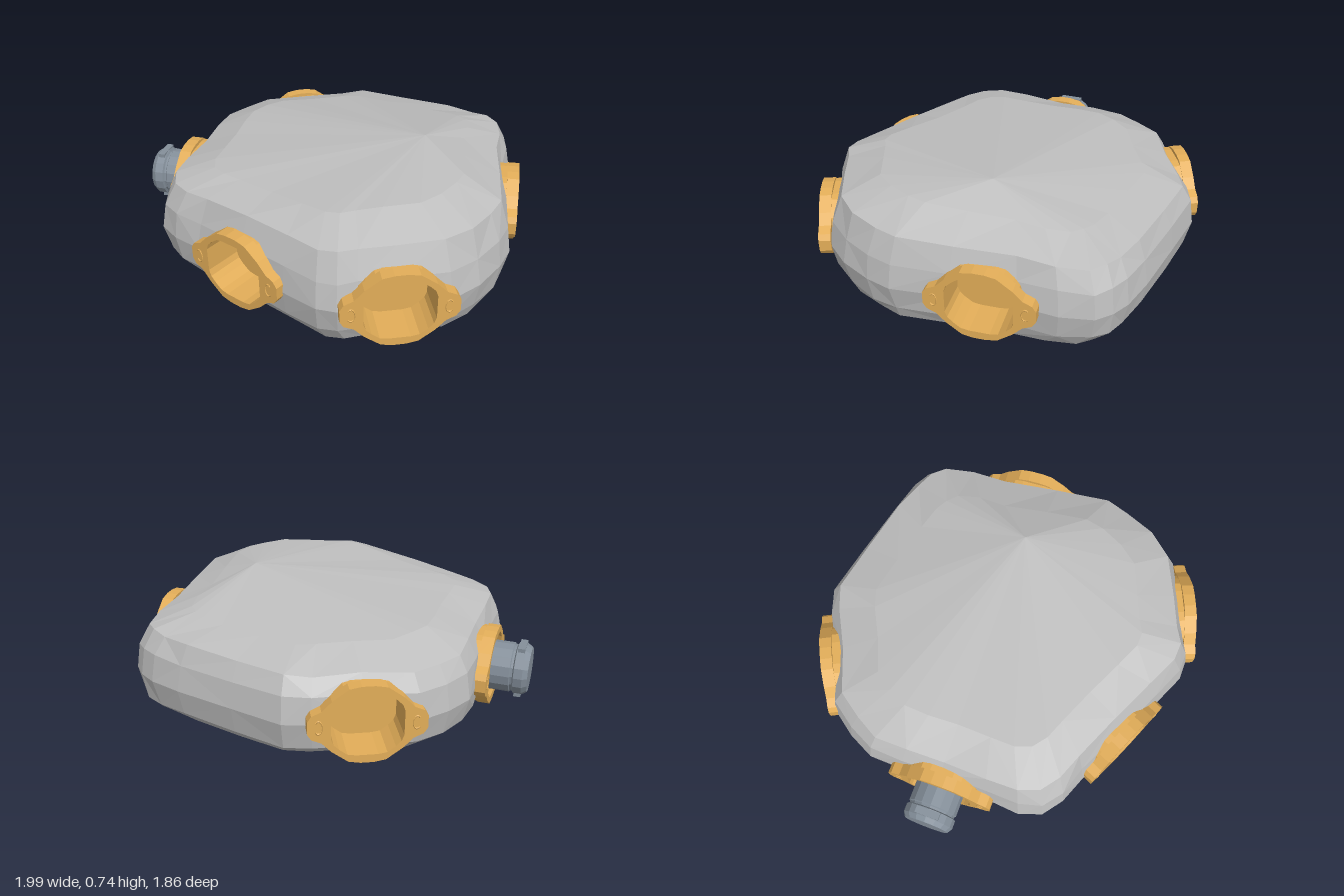
import * as THREE from 'three';

const rockMat = new THREE.MeshStandardMaterial({ name: 'grey stone', color: 0xbebebe, flatShading: true });
const brassMat = new THREE.MeshStandardMaterial({ name: 'ochre socket', color: 0xe2ad58, flatShading: true });
const plugMat = new THREE.MeshStandardMaterial({ name: 'slate plug', color: 0x848f9a, flatShading: true });

// Socket face centre (x, z) and outward direction (x, z)
const SOCKET_Y = 0.36;
const SOCKETS = [
  ['frontSocket', 0.085, 0.902, 0.09, 1],
  ['frontLeftSocket', 0.828, 0.592, 0.78, 0.62],
  ['backLeftSocket', 0.70, -0.5, 0.84, -0.55],
  ['backRightSocket', -0.82, -0.43, -0.84, -0.55],
  ['frontRightSocket', -0.79, 0.465, -0.87, 0.49],
].map(([name, x, z, nx, nz]) => ({
  name, c: new THREE.Vector3(x, SOCKET_Y, z), n: new THREE.Vector3(nx, 0, nz).normalize(),
}));
const STONE_DEPTH = 0.048; // stone surface behind each socket face

// Stone outline seen from above, running from the front towards +x
const OUTLINE = [
  [-0.35, 0.9], [-0.2, 0.88], [0.08, 0.855], [0.35, 0.84], [0.54, 0.825], [0.625, 0.78], [0.68, 0.7],
  [0.79, 0.56], [0.94, 0.37], [0.968, 0.2], [0.955, 0.02], [0.92, -0.11], [0.75, -0.35], [0.56, -0.6],
  [0.47, -0.78], [0.36, -0.9], [0.27, -0.928], [0.17, -0.928], [0, -0.89], [-0.3, -0.795], [-0.56, -0.71],
  [-0.65, -0.61], [-0.78, -0.41], [-0.93, -0.21], [-0.947, -0.05], [-0.94, 0.1], [-0.86, 0.26],
  [-0.75, 0.44], [-0.64, 0.65], [-0.56, 0.8], [-0.47, 0.88],
];

// Outline scale, shift in x and z, and height rule for each level, bottom to top
const LEVELS = [
  [0.57, 0.12, 0.08, () => 0.012],
  [0.89, 0.04, 0.01, () => 0.135],
  [0.97, 0, 0, () => 0.22],
  [1, 0, 0, () => 0.35],
  [0.975, 0, 0, () => 0.48],
  [0.92, 0, 0, (x, z) => 0.585 + 0.03 * x + 0.02 * z],
  [0.71, 0, 0.01, (x, z) => 0.65 + (x > 0 ? 0.07 : 0.02) * x + 0.05 * Math.min(0, z)],
];

function seeded(seed) {
  return () => (seed = (seed * 16807) % 2147483647) / 2147483647 - 0.5;
}

// Cut the eight-sided socket opening out of one convex polygon; returns the pieces left outside
function cutOpening(poly, { c, n }) {
  const mid = poly.reduce((s, p) => s.add(p), new THREE.Vector3()).divideScalar(poly.length);
  if (mid.sub(c).dot(n) < -0.4) return [poly];
  const side = new THREE.Vector3(n.z, 0, -n.x);
  const pieces = [];
  let inside = poly;
  for (let k = 0; k < 8 && inside.length > 2; k++) {
    const a = k * Math.PI / 4;
    const dir = side.clone().multiplyScalar(Math.cos(a)).add(new THREE.Vector3(0, Math.sin(a), 0));
    const dist = inside.map(p => p.clone().sub(c).dot(dir) - 0.172);
    const within = [], without = [];
    inside.forEach((p, i) => {
      const j = (i + 1) % inside.length;
      (dist[i] > 0 ? without : within).push(p);
      if ((dist[i] > 0) !== (dist[j] > 0)) {
        const q = p.clone().lerp(inside[j], dist[i] / (dist[i] - dist[j]));
        within.push(q);
        without.push(q);
      }
    });
    if (without.length > 2) pieces.push(without);
    inside = within;
  }
  // An untouched polygon stays whole
  return inside.length > 2 ? pieces : [poly];
}

function makeStone() {
  const rand = seeded(71);
  const rings = LEVELS.map(([scale, dx, dz, height], level) => OUTLINE.map(([ox, oz]) => {
    const rough = level === 0 || level === 3 || level === 6 ? 0.004 : 0.014;
    const s = scale + rand() * rough;
    const p = new THREE.Vector3(ox * s + dx, 0, oz * s + dz);
    p.y = height(p.x, p.z) + rand() * rough;
    // Flatten the stone behind each socket
    for (const { c, n } of SOCKETS) {
      const d = p.clone().sub(c);
      const depth = d.dot(n);
      if (Math.abs(d.x * n.z - d.z * n.x) < 0.24 && depth > -STONE_DEPTH && depth < 0.3) {
        p.addScaledVector(n, -STONE_DEPTH - depth);
      }
    }
    return p;
  }));
  const top = new THREE.Vector3(0.33, 0.74, -0.18), base = new THREE.Vector3(0.15, 0, 0);
  let polys = [];
  const count = OUTLINE.length;
  for (let i = 0; i < count; i++) {
    const j = (i + 1) % count;
    for (let k = 0; k + 1 < rings.length; k++) {
      const [a, b, c, d] = [rings[k][i], rings[k][j], rings[k + 1][j], rings[k + 1][i]];
      if ((i + k) % 3) polys.push([a, b, c], [a, c, d]);
      else polys.push([a, b, d], [b, c, d]);
    }
    polys.push([rings.at(-1)[i], rings.at(-1)[j], top], [rings[0][j], rings[0][i], base]);
  }
  for (const socket of SOCKETS) polys = polys.flatMap(p => cutOpening(p, socket));
  const points = polys.flatMap(p => p.slice(2).flatMap((v, i) => [p[0], p[i + 1], v]));
  const geo = new THREE.BufferGeometry().setFromPoints(points);
  geo.computeVertexNormals();
  return mesh('stone', geo, rockMat);
}

function mesh(name, geo, mat) {
  const m = new THREE.Mesh(geo, mat);
  m.name = name;
  return m;
}

// Mirror a quarter outline, given from +x to +y, into a closed loop
function loop(quarter, s = 1) {
  const half = [...quarter, ...quarter.slice().reverse().map(([x, y]) => [-x, y])];
  return [...half, ...half.slice().reverse().map(([x, y]) => [x, -y])]
    .map(([x, y]) => new THREE.Vector2(x * s, y * s));
}

const FLANGE = [[0.268, 0.03], [0.25, 0.058], [0.205, 0.078], [0.16, 0.125], [0.085, 0.18], [0.03, 0.19]];
const BORE = [[0.163, 0.06], [0.152, 0.09], [0.127, 0.115], [0.09, 0.143], [0.05, 0.15]];

function ringExtrude(outer, depth) {
  const shape = new THREE.Shape(outer);
  shape.holes.push(new THREE.Path(loop(BORE)));
  return new THREE.ExtrudeGeometry(shape, { depth, bevelEnabled: false }).translate(0, 0, -depth);
}

function makeSocket({ name, c, n }) {
  const g = new THREE.Group();
  g.name = name;
  g.position.copy(c);
  g.rotation.y = Math.atan2(n.x, n.z);
  g.add(mesh('flange', ringExtrude(loop(FLANGE), 0.06), brassMat));
  g.add(mesh('collar', ringExtrude(loop(BORE, 1.15), 0.19).translate(0, 0, -0.002), brassMat));
  g.add(mesh('socketFloor', new THREE.ShapeGeometry(new THREE.Shape(loop(BORE, 1.05))).translate(0, 0, -0.188), brassMat));
  // Small open catches on the two ears
  for (const s of [-1, 1]) {
    const catchGeo = new THREE.TorusGeometry(0.02, 0.003, 4, 10, Math.PI * 1.5).rotateZ(Math.PI / 4);
    const ear = mesh('earCatch', catchGeo, brassMat);
    ear.scale.set(0.9, 1.6, 1);
    ear.rotation.z = s > 0 ? 0 : Math.PI;
    ear.position.set(s * 0.218, 0, 0);
    g.add(ear);
  }
  return g;
}

function makePlug() {
  const g = new THREE.Group();
  g.name = 'plug';
  const profile = [[0, -0.185], [0.124, -0.185], [0.124, 0.085], [0.117, 0.09], [0.117, 0.1],
    [0.128, 0.106], [0.128, 0.148], [0.112, 0.172], [0, 0.172]].map(([r, y]) => new THREE.Vector2(r, y));
  g.add(mesh('plugBody', new THREE.LatheGeometry(profile, 16).rotateX(Math.PI / 2), plugMat));
  // Clips above and below the rim
  for (const s of [-1, 1]) {
    const clip = mesh('plugClip', new THREE.BoxGeometry(0.12, 0.02, 0.034), plugMat);
    clip.position.set(0, s * 0.12, 0.127);
    g.add(clip);
  }
  return g;
}

export function createModel() {
  const model = new THREE.Group();
  model.name = 'socketedStone';
  model.add(makeStone());
  const sockets = SOCKETS.map(makeSocket);
  sockets[4].add(makePlug());
  model.add(...sockets);
  return model;
}
